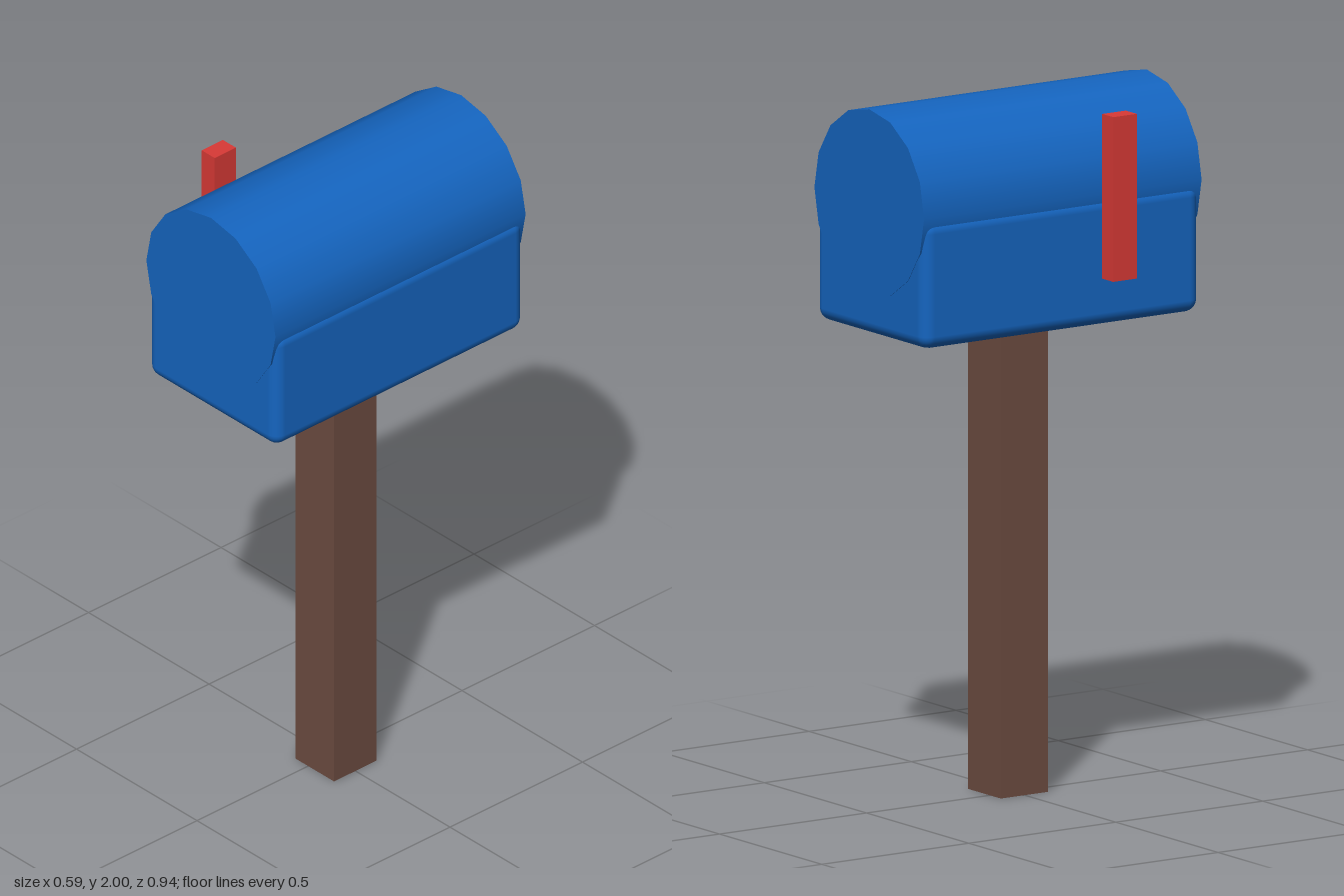
import * as THREE from 'three';
import { RoundedBoxGeometry } from 'three/addons/geometries/RoundedBoxGeometry.js';

const CENTER_X = 0.027; // box and post sit off-centre to balance the side flag
const RADIUS = 0.268;
const LENGTH = 0.944;

export function createModel() {
  const model = new THREE.Group();
  model.name = 'mailbox';

  const blue = new THREE.MeshStandardMaterial({ color: 0x1565c0 });
  const brown = new THREE.MeshStandardMaterial({ color: 0x6d4c41 });
  const red = new THREE.MeshStandardMaterial({ color: 0xd93a36 });

  const add = (name, geometry, material, x, y, z) => {
    const mesh = new THREE.Mesh(geometry, material);
    mesh.name = name;
    mesh.position.set(x, y, z);
    model.add(mesh);
  };

  // Square wooden post
  add('post', new THREE.BoxGeometry(0.161, 1.37, 0.161), brown, CENTER_X, 0.685, 0);

  // Lower body with rounded edges, 1.355 to 1.72 high
  const body = new RoundedBoxGeometry(RADIUS * 2, 0.365, LENGTH - 0.003, 3, 0.036);
  add('boxBody', body, blue, CENTER_X, 1.5375, 0);

  // Barrel roof: a 16-sided cylinder lying along z, half sunk in the body
  const roof = new THREE.CylinderGeometry(RADIUS, RADIUS, LENGTH, 16);
  roof.rotateX(Math.PI / 2);
  add('barrelRoof', roof, blue, CENTER_X, 2 - RADIUS, 0);

  // Raised signal flag on the right side
  add('flag', new THREE.BoxGeometry(0.054, 0.47, 0.08), red, -0.268, 1.725, 0.174);

  return model;
}
